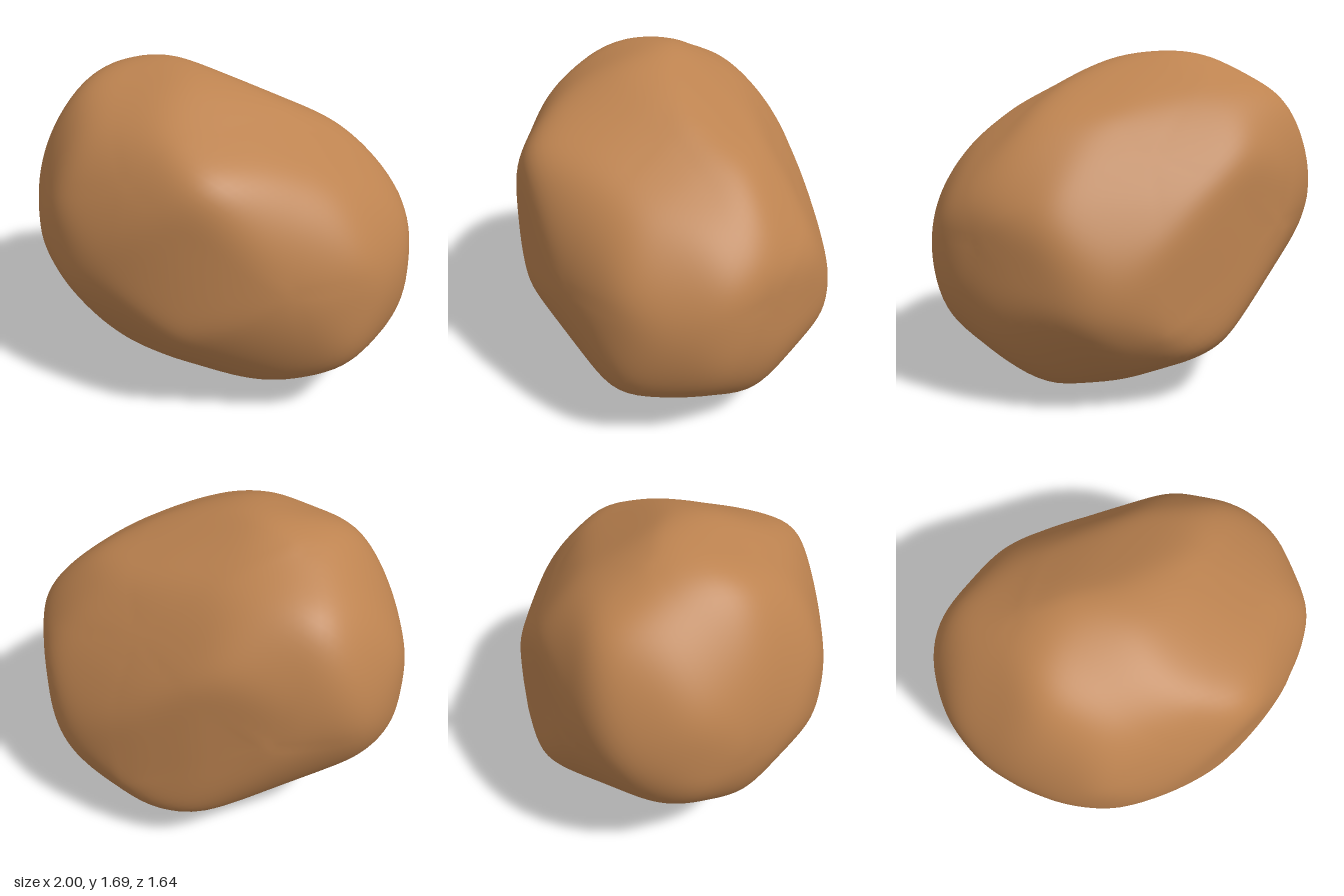
import * as THREE from 'three';
import { mergeVertices } from 'three/addons/utils/BufferGeometryUtils.js';

const CENTRE_HEIGHT = 0.843;

// Rounded profiles of the lump about its centre: azimuth and elevation of the facing direction, then u, v points.
const PROFILES = [
  { azimuth: 0, elevation: 0, points: [-1, .09, -.88, .51, -.67, .73, -.2, .845, .6, .53, .93, .16, 1, -.14, .88, -.54, .6, -.76, .12, -.845, -.7, -.49, -.94, -.19] },
  { azimuth: 90, elevation: 0, points: [-.82, .08, -.6, .62, -.07, .845, .2, .77, .6, .33, .82, -.19, .79, -.41, .57, -.69, 0, -.845, -.35, -.73, -.75, -.24] },
  { azimuth: 0, elevation: 90, points: [-1, .14, -.45, .58, .3, .82, .75, .55, .97, .3, 1, -.05, .8, -.4, .35, -.7, -.2, -.82, -.7, -.63, -.92, -.33] },
  { azimuth: 45, elevation: 25, points: [-.93, .08, -.83, .5, -.5, .84, -.19, .85, .52, .52, .9, .1, .93, -.25, .82, -.6, .25, -.84, -.14, -.77, -.55, -.56, -.86, -.17] },
  { azimuth: 225, elevation: 25, points: [-.91, .27, -.48, .61, .2, .8, .56, .72, .77, .5, .92, 0, .85, -.34, .6, -.56, -.13, -.8, -.57, -.71, -.9, -.3] },
  { azimuth: 135, elevation: -25, points: [-.84, .1, -.72, .45, -.32, .72, .08, .71, .68, .45, .82, -.12, .57, -.55, -.02, -.75, -.56, -.55, -.77, -.26] },
];

// Planes that trim the lump to one profile: outward normal and distance from the centre.
function trimPlanes({ azimuth, elevation, points }) {
  const a = THREE.MathUtils.degToRad(azimuth), e = THREE.MathUtils.degToRad(elevation);
  const right = new THREE.Vector3(Math.cos(a), 0, -Math.sin(a));
  const up = new THREE.Vector3(-Math.sin(a) * Math.sin(e), Math.cos(e), -Math.cos(a) * Math.sin(e));
  const corners = [];
  for (let i = 0; i < points.length; i += 2) corners.push(new THREE.Vector3(points[i], points[i + 1], 0));
  const outline = new THREE.CatmullRomCurve3(corners, true, 'centripetal').getPoints(72);

  const planes = [];
  const count = 60;
  for (let i = 0; i < count; i++) {
    const t = (i / count) * Math.PI * 2;
    const side = new THREE.Vector3(Math.cos(t), Math.sin(t), 0);
    planes.push({
      normal: right.clone().multiplyScalar(side.x).addScaledVector(up, side.y),
      distance: Math.max(...outline.map((p) => p.dot(side))),
    });
  }
  return planes;
}

// Average each radius with its neighbours on the mesh to soften the ridges.
function soften(radii, index, passes) {
  const near = radii.map(() => new Set());
  for (let f = 0; f < index.length; f += 3) {
    for (let k = 0; k < 3; k++) {
      near[index[f + k]].add(index[f + (k + 1) % 3]).add(index[f + (k + 2) % 3]);
    }
  }
  for (let pass = 0; pass < passes; pass++) {
    radii = radii.map((r, i) => {
      let sum = 0;
      for (const j of near[i]) sum += radii[j];
      return 0.4 * r + 0.6 * sum / near[i].size;
    });
  }
  return radii;
}

// A sphere whose points are pulled in to the nearest trimming plane.
function lumpGeometry() {
  const ball = new THREE.IcosahedronGeometry(1, 26);
  ball.deleteAttribute('uv');
  ball.deleteAttribute('normal');
  const geometry = mergeVertices(ball, 1e-4);
  const position = geometry.attributes.position;
  const planes = PROFILES.flatMap(trimPlanes);

  const directions = [];
  for (let i = 0; i < position.count; i++) {
    directions.push(new THREE.Vector3().fromBufferAttribute(position, i).normalize());
  }
  const trimmed = directions.map((d) => {
    let r = 2;
    for (const { normal, distance } of planes) {
      const facing = normal.dot(d);
      if (facing > 1e-3) r = Math.min(r, distance / facing);
    }
    return r;
  });
  soften(trimmed, geometry.index.array, 10).forEach((r, i) => {
    const d = directions[i];
    position.setXYZ(i, d.x * r, d.y * r, d.z * r);
  });
  geometry.computeVertexNormals();
  return geometry;
}

export function createModel() {
  const group = new THREE.Group();
  group.name = 'potato';
  const skin = new THREE.MeshStandardMaterial({ color: 0xbd8350 });
  skin.name = 'earthy brown';
  const body = new THREE.Mesh(lumpGeometry(), skin);
  body.name = 'body';
  body.position.y = CENTRE_HEIGHT;
  group.add(body);
  return group;
}
